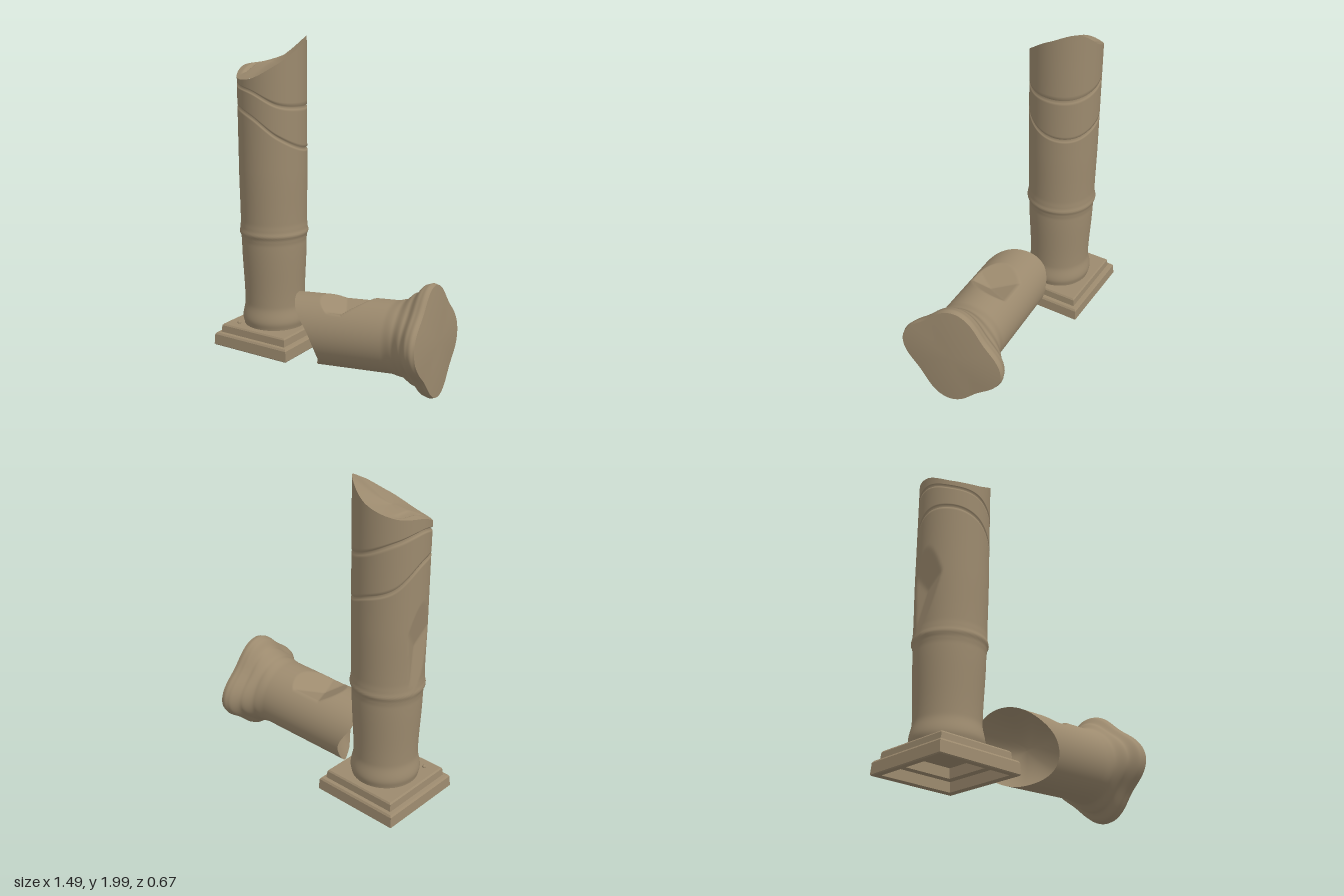
import * as THREE from 'three';

const COLS = 128;
const TAU = Math.PI * 2;

// Grid surface closed around the y axis; f(theta, row) returns [radius, y]
function loft(rows, f, material, name) {
  const pos = [], index = [];
  for (let j = 0; j <= rows; j++) {
    for (let i = 0; i < COLS; i++) {
      const a = (i / COLS) * TAU;
      const [r, y] = f(a, j);
      pos.push(r * Math.cos(a), y, r * Math.sin(a));
      if (j === rows) continue;
      const p = j * COLS + i, q = j * COLS + (i + 1) % COLS;
      index.push(p, p + COLS, q, q, p + COLS, q + COLS);
    }
  }
  const geo = new THREE.BufferGeometry();
  geo.setAttribute('position', new THREE.Float32BufferAttribute(pos, 3));
  geo.setIndex(index);
  geo.computeVertexNormals();
  const mesh = new THREE.Mesh(geo, material);
  mesh.name = name;
  return mesh;
}

// Smooth curve between four neighbouring values
function spline(a, b, c, d, t) {
  return b + 0.5 * t * (c - a + t * (2 * a - 5 * b + 4 * c - d + t * (3 * (b - c) + d - a)));
}

// Value around the axis from evenly spaced keys, starting at +x and turning to +z
function around(keys) {
  const n = keys.length, at = (i) => keys[(i + n) % n];
  return (a) => {
    const u = (a / TAU) * n, i = Math.floor(u);
    return spline(at(i - 1), at(i), at(i + 1), at(i + 2), u - i);
  };
}

// Radius along the axis from [position, radius] pairs, eased between them
function profile(pts) {
  return (y) => {
    if (y <= pts[0][0]) return pts[0][1];
    for (let i = 1; i < pts.length; i++) {
      if (y <= pts[i][0]) {
        const t = (y - pts[i - 1][0]) / (pts[i][0] - pts[i - 1][0]);
        return THREE.MathUtils.lerp(pts[i - 1][1], pts[i][1], t * t * (3 - 2 * t));
      }
    }
    return pts[pts.length - 1][1];
  };
}

// Cuts a faceted chip whose planes all meet at one apex
function carve(r, a, y, apex, normals) {
  let limit = 0;
  for (const [nx, ny, nz] of normals) {
    const den = nx * Math.cos(a) + nz * Math.sin(a);
    if (den <= 0) return r;
    limit = Math.max(limit, (nx * apex[0] + ny * (apex[1] - y) + nz * apex[2]) / den);
  }
  return Math.min(r, limit);
}

function createColumn(stone) {
  const column = new THREE.Group();
  column.name = 'standingColumn';
  column.position.set(-0.472, 0, -0.058);

  // Stepped square plinth, hollow underneath
  const steps = [[0, 0.185], [0.19, 0.185], [0.19, 0.125], [0.235, 0.125], [0.235, 0.065], [0.272, 0.062],
    [0.278, 0.068], [0.274, 0.132], [0.266, 0.143], [0.245, 0.145], [0.241, 0.188], [0.234, 0.197], [0, 0.197]];
  const lathe = new THREE.LatheGeometry(steps.map(([h, y]) => new THREE.Vector2(h * Math.SQRT2, y)), 4);
  lathe.rotateY(Math.PI / 4);
  const plinthGeo = lathe.toNonIndexed();
  plinthGeo.computeVertexNormals();
  const plinth = new THREE.Mesh(plinthGeo, stone);
  plinth.name = 'plinth';
  column.add(plinth);

  // Pebble lying on the plinth
  const pebble = new THREE.Mesh(new THREE.SphereGeometry(0.012, 10, 8), stone);
  pebble.name = 'pebble';
  pebble.position.set(-0.16, 0.2, 0.17);
  column.add(pebble);

  // Shaft with two crack lines running round it
  const radius = profile([[0.19, 0.195], [0.24, 0.204], [0.34, 0.188], [0.74, 0.202], [0.775, 0.206],
    [0.8, 0.215], [0.825, 0.209], [0.87, 0.206], [1.2, 0.21], [2, 0.211]]);
  const crackLow = around([1.335, 1.41, 1.53, 1.58, 1.57, 1.44, 1.38, 1.325]);
  const crackHigh = around([1.58, 1.6, 1.68, 1.71, 1.745, 1.7, 1.63, 1.585]);
  const rim = around([1.94, 1.84, 1.755, 1.75, 1.81, 1.83, 1.89, 1.99]);
  const rowsOf = [];
  const section = (n, from, to, df, dt) => {
    for (let k = 0; k <= n; k++) {
      rowsOf.push({ y: (a) => THREE.MathUtils.lerp(from(a) + df, to(a) + dt, k / n), dip: 0 });
    }
  };
  section(110, () => 0.19, crackLow, 0, -0.011);
  rowsOf.push({ y: crackLow, dip: 0.013 });
  section(16, crackLow, crackHigh, 0.009, -0.011);
  rowsOf.push({ y: crackHigh, dip: 0.013 });
  section(16, crackHigh, rim, 0.009, 0);
  const chip = [[-1, 0.15, -0.12], [-1, -0.15, 0.1], [-0.9, 0.03, 0.3]];
  column.add(loft(rowsOf.length - 1, (a, j) => {
    const y = rowsOf[j].y(a);
    return [carve(radius(y), a, y, [-0.172, 1.08, 0], chip) - rowsOf[j].dip, y];
  }, stone, 'shaft'));

  // Slanting broken top with a split near its low side
  const rings = 32;
  column.add(loft(rings, (a, j) => {
    const t = 1 - j / rings, r = 0.211 * t;
    const x = r * Math.cos(a), z = r * Math.sin(a);
    let y = THREE.MathUtils.lerp(1.84, rim(a), t ** 1.3);
    const inside = Math.max(0, 1 - t ** 8) * Math.exp(-(((z + 0.01) / 0.1) ** 4));
    y -= 0.035 * inside * Math.exp(-(((x + 0.13) / 0.014) ** 2));
    return [r, y];
  }, stone, 'brokenTop'));
  return column;
}

function createCapital(stone) {
  // Built along local y, then laid down: local -x points up, +z stays front
  const capital = new THREE.Group();
  capital.name = 'fallenCapital';
  capital.position.set(0, 0.277, 0.07);
  const axis = new THREE.Vector3(1, 0.075, -0.09).normalize();
  capital.quaternion.setFromUnitVectors(new THREE.Vector3(0, 1, 0), axis);

  const edge = around([-0.066, 0.025, 0, -0.12, -0.185, -0.205, -0.14, -0.14]);
  const END = 0.715;
  const base = profile([[0.46, 0.212], [0.53, 0.222], [0.6, 0.255], [0.66, 0.296], [0.69, 0.303], [END, 0.296]]);
  const radius = (a, s) => base(s) + 0.028 * THREE.MathUtils.smoothstep(s, 0.48, 0.69) * Math.cos(4 * a);
  const gouge = [[-0.93, 0, 0.38], [-0.97, 0.04, -0.24], [-0.85, 0.53, 0.1], [-0.83, -0.55, -0.1]];

  // Hollowed broken end
  const rings = 20;
  capital.add(loft(rings, (a, j) => {
    const t = j / rings;
    return [0.212 * t, THREE.MathUtils.lerp(0.0, edge(a), t * t)];
  }, stone, 'brokenEnd'));

  // Drum with a faceted gouge, flaring into a rounded square
  const rows = 110;
  capital.add(loft(rows, (a, j) => {
    const s = THREE.MathUtils.lerp(edge(a), END, j / rows);
    return [carve(radius(a, s), a, s, [-0.11, 0.16, 0.04], gouge), s];
  }, stone, 'flaredDrum'));

  // Gently domed end face
  capital.add(loft(8, (a, j) => {
    const t = 1 - j / 8;
    return [radius(a, END) * t, END + 0.015 * (1 - t * t)];
  }, stone, 'endFace'));
  return capital;
}

export function createModel() {
  const stone = new THREE.MeshStandardMaterial({ color: 0x9c8a6e });
  stone.name = 'weatheredStone';
  const model = new THREE.Group();
  model.name = 'brokenColumn';
  model.add(createColumn(stone), createCapital(stone));
  return model;
}
